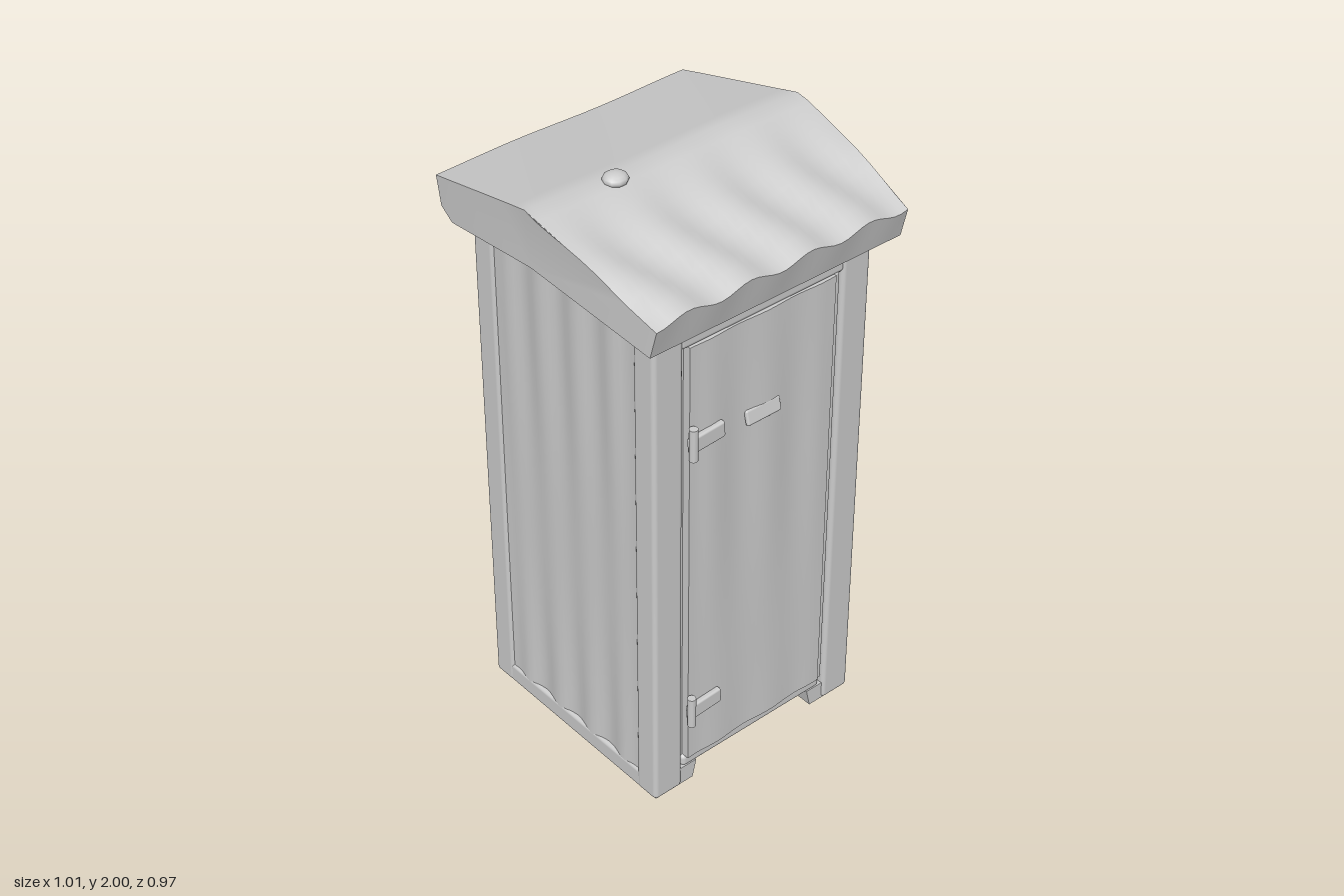
import * as THREE from 'three';
import { toCreasedNormals } from 'three/addons/utils/BufferGeometryUtils.js';
import { RoundedBoxGeometry } from 'three/addons/geometries/RoundedBoxGeometry.js';

const grey = new THREE.MeshStandardMaterial({ color: 0xcccccc });
grey.name = 'weathered grey';

export function createModel() {
  const model = new THREE.Group();

  function add(name, geometry, x = 0, y = 0, z = 0, turn = 0) {
    const mesh = new THREE.Mesh(geometry, grey);
    mesh.name = name;
    mesh.position.set(x, y, z);
    mesh.rotation.y = turn;
    model.add(mesh);
    return mesh;
  }
  const block = (w, h, d, r = 0.015) => new RoundedBoxGeometry(w, h, d, 2, r);

  // Board whose front face is gently warped, like old planking
  function warpedBoard(w, h, d, amount, waves, phase) {
    const geo = new THREE.BoxGeometry(w, h, d, 28, 14, 1);
    const p = geo.attributes.position;
    for (let i = 0; i < p.count; i++) {
      if (p.getZ(i) < 0) continue;
      const u = p.getX(i) / w, v = p.getY(i) / h;
      const edge = Math.min(1, (0.5 - Math.abs(u)) * 8);
      const ripple = Math.sin(u * waves * 6.28 + phase + v * 1.5) * (0.7 + 0.3 * Math.sin(v * 7 + phase));
      p.setZ(i, p.getZ(i) + amount * edge * ripple);
    }
    return toCreasedNormals(geo, 0.7);
  }

  // Extrudes a (z, y) outline along x, centred
  function alongX(points, width, steps) {
    const geo = new THREE.ExtrudeGeometry(new THREE.Shape(points.map(q => new THREE.Vector2(...q))),
      { depth: width, steps, bevelEnabled: false });
    geo.rotateY(-Math.PI / 2);
    geo.translate(width / 2, 0, 0);
    return geo;
  }

  // Cabin core with gabled top
  add('cabin', alongX([[-0.38, 0.05], [0.38, 0.05], [0.38, 1.76], [0, 1.86], [-0.38, 1.76]], 0.77, 1));

  // Corner posts, feet and side sills
  for (const s of [-1, 1]) {
    add('frontPost', block(0.11, 1.76, 0.09), s * 0.354, 0.88, 0.36);
    add('backPost', block(0.09, 1.76, 0.09), s * 0.364, 0.88, -0.355);
    add('sideSill', block(0.05, 0.07, 0.78, 0.012), s * 0.382, 0.035, 0);
    for (const f of [-1, 1]) {
      const foot = new THREE.Shape([[0.4, 0], [0.25, 0], [0.235, 0.065], [0.4, 0.065]].map(([x, y]) => new THREE.Vector2(s * x, y)));
      add(f > 0 ? 'frontFoot' : 'backFoot', new THREE.ExtrudeGeometry(foot, { depth: 0.05, bevelEnabled: false }),
        0, 0, f > 0 ? 0.347 : -0.395);
    }
    // Side planking set between the posts
    add('sideWall', warpedBoard(0.64, 1.71, 0.03, 0.007, 4, s), s * 0.385, 0.9, 0.005, s * Math.PI / 2);
  }

  // Back planking
  add('backWall', warpedBoard(0.65, 1.7, 0.03, 0.008, 4, 2), 0, 0.9, -0.377, Math.PI);

  // Front frame and door
  add('header', block(0.62, 0.1, 0.04), 0, 1.7, 0.382);
  add('threshold', block(0.58, 0.045, 0.04), 0, 0.082, 0.376);
  add('door', warpedBoard(0.55, 1.55, 0.03, 0.005, 2.5, 0.5), -0.005, 0.88, 0.393);
  add('doorJamb', block(0.02, 1.56, 0.03, 0.008), 0.28, 0.88, 0.388);

  // Door vent with a drooping lip
  const lip = add('doorVent', block(0.13, 0.05, 0.016, 0.007), -0.005, 1.315, 0.41);
  lip.rotation.x = -0.25;

  // Strap hinges on the left edge as seen from the front
  for (const y of [1.33, 0.31]) {
    add('hingeStrap', block(0.13, 0.055, 0.02, 0.007), -0.225, y, 0.417).rotation.z = 0.06;
    const pin = new THREE.CylinderGeometry(0.014, 0.014, 0.11, 10);
    add('hingePin', pin, -0.28, y + 0.005, 0.425);
  }

  // Roof outline: two slopes, eave fascias and shallow gable underside
  const outline = [];
  const line = (a, b, n) => {
    for (let i = 0; i < n; i++) outline.push([a[0] + (b[0] - a[0]) * i / n, a[1] + (b[1] - a[1]) * i / n]);
  };
  line([0.485, 1.84], [0.03, 1.97], 8);
  line([0.03, 1.97], [-0.02, 1.982], 1);
  line([-0.02, 1.982], [-0.485, 1.87], 8);
  line([-0.485, 1.87], [-0.465, 1.775], 1);
  line([-0.465, 1.775], [-0.41, 1.745], 1);
  line([-0.41, 1.745], [0, 1.81], 1);
  line([0, 1.81], [0.46, 1.735], 1);
  line([0.46, 1.735], [0.485, 1.84], 1);
  const roof = alongX(outline, 1.01, 36);
  const p = roof.attributes.position;
  for (let i = 0; i < p.count; i++) {
    const x = p.getX(i), y = p.getY(i), z = p.getZ(i);
    // Narrow towards the eaves, ripple the front slope, sag the rear one slightly
    p.setX(i, x * (1 - 0.08 * Math.abs(z) / 0.485));
    if (y > 1.83) {
      const wave = z > 0
        ? 0.012 * Math.min(1, z * 4) * Math.sin(x * 26 + 1.2 * Math.sin(z * 9))
        : 0.003 * Math.sin(x * 9 + z * 6);
      p.setY(i, y + wave);
    }
  }
  add('roof', toCreasedNormals(roof, 0.6));

  // Loose knob on the ridge
  const knob = add('ridgeKnob', new THREE.SphereGeometry(0.04, 10, 8), -0.205, 1.978, 0.005);
  knob.scale.set(1, 0.55, 0.95);

  return model;
}
